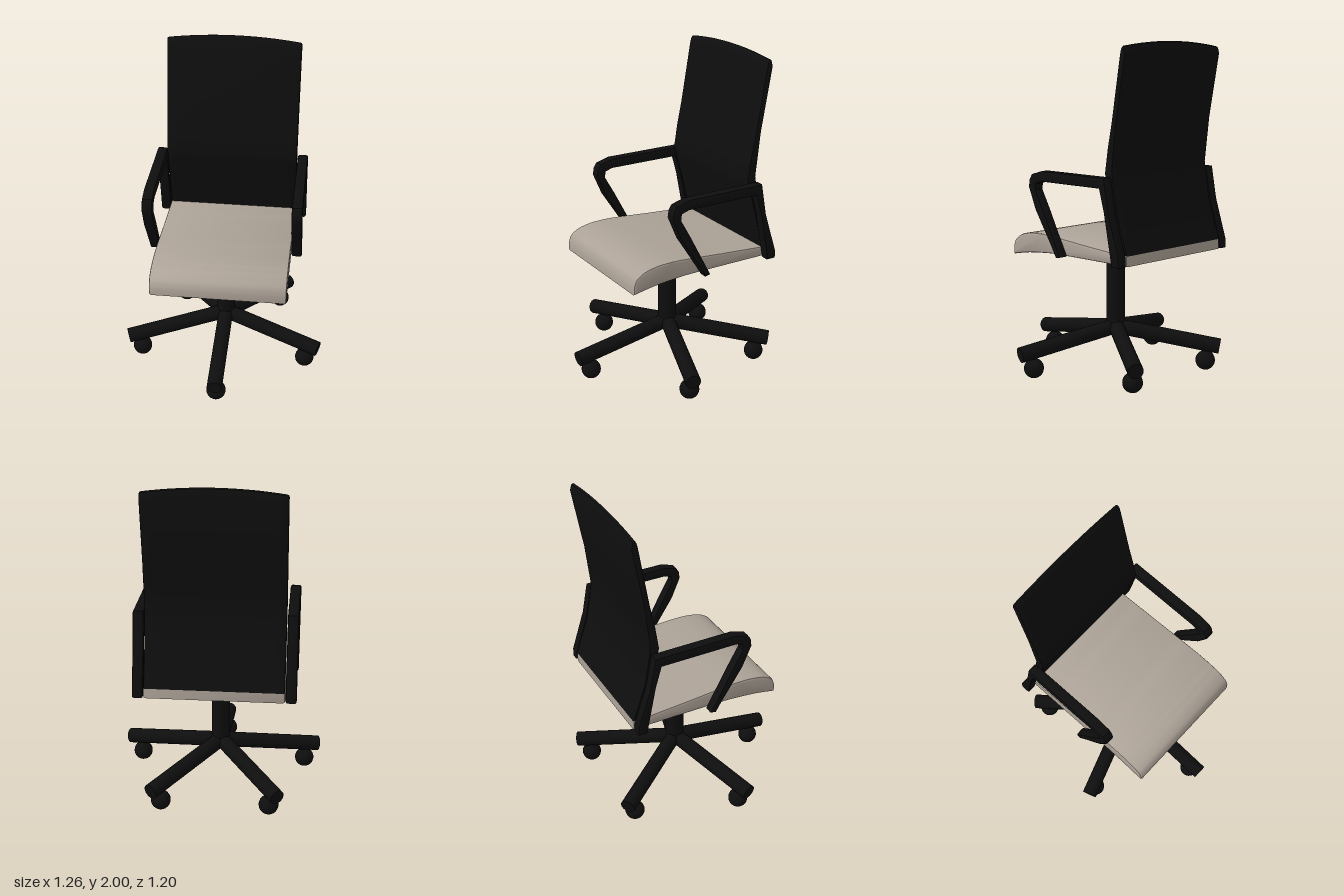
import * as THREE from 'three';
import { toCreasedNormals } from 'three/addons/utils/BufferGeometryUtils.js';

const black = new THREE.MeshStandardMaterial({ color: 0x0e0e0e });
black.name = 'black';
const beige = new THREE.MeshStandardMaterial({ color: 0xada398 });
beige.name = 'warm grey fabric';

function addMesh(parent, name, geometry, material) {
  const mesh = new THREE.Mesh(geometry, material);
  mesh.name = name;
  parent.add(mesh);
  return mesh;
}

// Extrudes a side profile of [z, y] points across x, centred, with a small bevel.
function profileGeometry(points, width, bevel, steps = 1, warp = null) {
  const shape = new THREE.Shape(points.map(([z, y]) => new THREE.Vector2(-z, y)));
  const geometry = new THREE.ExtrudeGeometry(shape, {
    depth: width - 2 * bevel, steps,
    bevelEnabled: true, bevelThickness: bevel, bevelSize: bevel, bevelOffset: -bevel, bevelSegments: 2,
  });
  geometry.translate(0, 0, -(width / 2 - bevel));
  geometry.rotateY(Math.PI / 2);
  if (warp) {
    const p = geometry.attributes.position;
    for (let i = 0; i < p.count; i++) p.setY(i, warp(p.getX(i), p.getY(i)));
  }
  return toCreasedNormals(geometry, 0.6);
}

// Smooth run of points through a few guides.
function smooth(points, n) {
  const curve = new THREE.SplineCurve(points.map(([z, y]) => new THREE.Vector2(z, y)));
  return curve.getPoints(n).map((v) => [v.x, v.y]);
}

export function createModel() {
  const chair = new THREE.Group();
  chair.name = 'officeChair';

  // Seat cushion with a waterfall front edge
  const seatTop = smooth([[-0.53, 0.81], [-0.2, 0.833], [0.15, 0.858], [0.32, 0.845], [0.405, 0.805], [0.43, 0.755]], 24);
  const seatBottom = smooth([[0.43, 0.703], [0.3, 0.727], [0.15, 0.742], [0, 0.748], [-0.53, 0.75]], 12);
  addMesh(chair, 'seat', profileGeometry([...seatTop, ...seatBottom], 0.824, 0.012), beige);

  // Backrest, with its top edge bowed upwards in the middle
  const backProfile = [
    [-0.472, 0.81], [-0.413, 1.05], [-0.375, 1.183], [-0.355, 1.262], [-0.376, 1.4], [-0.407, 1.553], [-0.47, 1.95],
    [-0.478, 1.985], [-0.49, 2.0], [-0.503, 1.995], [-0.513, 1.96],
    [-0.444, 1.553], [-0.427, 1.4], [-0.413, 1.278], [-0.45, 1.05], [-0.53, 0.81],
  ];
  const bow = (x, y) => y - 0.03 * (x / 0.41) ** 2 * THREE.MathUtils.clamp((y - 1.5) / 0.45, 0, 1);
  addMesh(chair, 'backrest', profileGeometry(backProfile, 0.82, 0.01, 16, bow), black);

  // Looped armrests
  const armProfile = [
    [-0.02, 0.742], [0.015, 0.8], [0.155, 1.013], [0.212, 1.145], [0.206, 1.19], [0.185, 1.222], [0.1, 1.246],
    [-0.414, 1.246], [-0.45, 1.05], [-0.53, 0.8], [-0.53, 0.75], [-0.472, 0.75],
    [-0.413, 1.05], [-0.375, 1.183], [0.1, 1.183], [0.147, 1.168], [0.152, 1.13], [0.085, 1.013], [-0.055, 0.75],
  ];
  const armGeometry = profileGeometry(armProfile, 0.064, 0.01);
  for (const side of [1, -1]) {
    const arm = addMesh(chair, side > 0 ? 'leftArmrest' : 'rightArmrest', armGeometry, black);
    arm.position.x = side * 0.446;
  }

  // Swivel base: column, five sloping legs and ball casters
  const base = new THREE.Group();
  base.name = 'base';
  base.position.z = -0.05;
  chair.add(base);
  const column = addMesh(base, 'column', new THREE.CylinderGeometry(0.057, 0.057, 0.53, 24), black);
  column.position.y = 0.495;

  const run = 0.643, drop = 0.105;
  const length = Math.hypot(run, drop);
  const legGeometry = new THREE.CylinderGeometry(0.047, 0.047, length, 16);
  legGeometry.translate(0, length / 2, 0);
  legGeometry.rotateX(Math.PI / 2 + Math.atan2(drop, run));
  const casterGeometry = new THREE.SphereGeometry(0.06, 20, 14);
  for (let i = 0; i < 5; i++) {
    const spoke = new THREE.Group();
    spoke.name = 'spoke' + (i + 1);
    spoke.rotation.y = (i * Math.PI * 2) / 5;
    base.add(spoke);
    addMesh(spoke, 'leg', legGeometry, black).position.y = 0.257;
    addMesh(spoke, 'caster', casterGeometry, black).position.set(0, 0.062, 0.555);
  }
  return chair;
}
